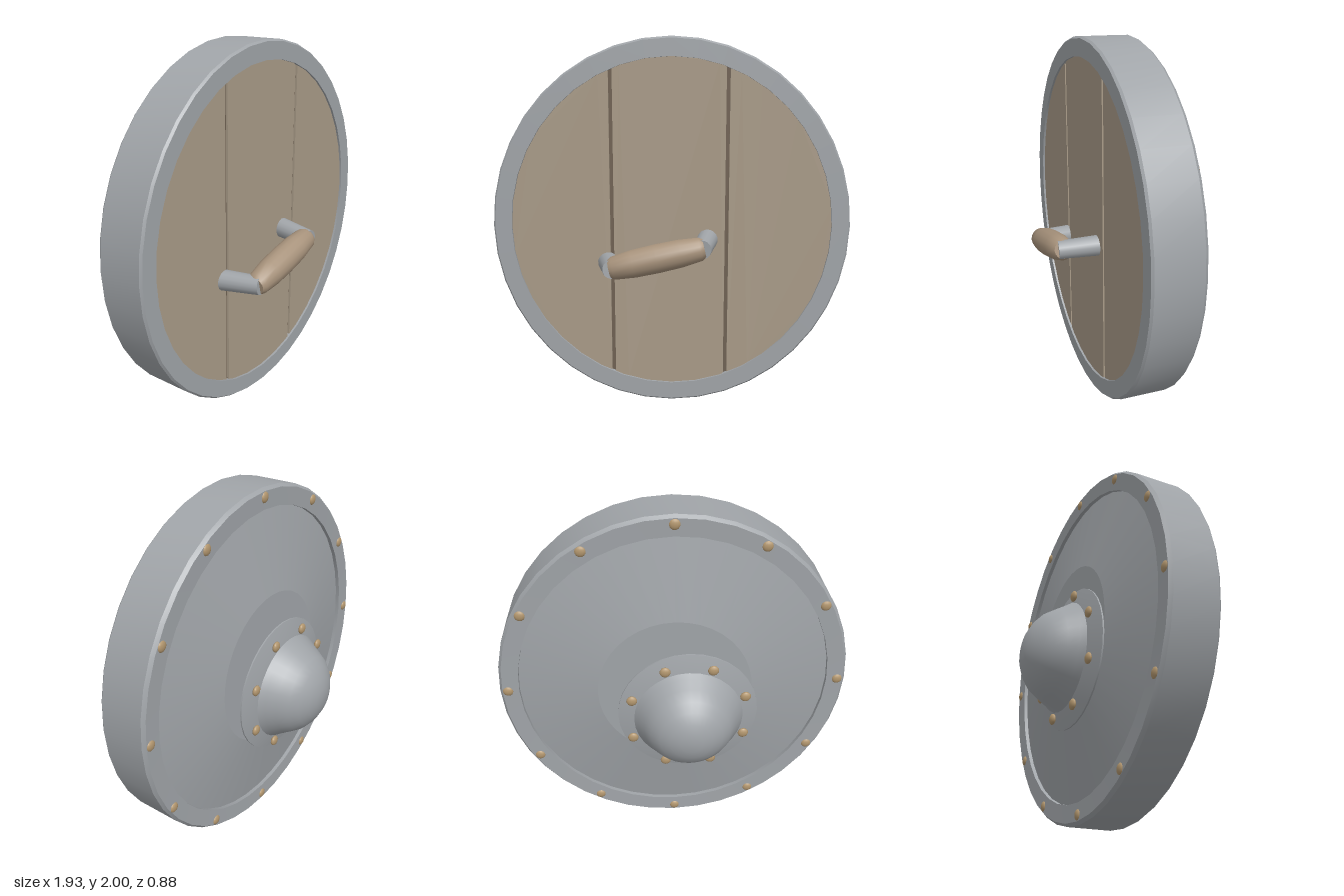
import * as THREE from 'three';
import { toCreasedNormals } from 'three/addons/utils/BufferGeometryUtils.js';

const material = (name, color) => {
  const m = new THREE.MeshStandardMaterial({ color });
  m.name = name;
  return m;
};

export function createModel() {
  const steel = material('steel', 0xa0a4a8);
  const wood = material('wood', 0xa89a87);
  const darkWood = material('dark wood', 0x6f6152);
  const leather = material('grip leather', 0xa8937c);
  const brass = material('rivet brass', 0xb2966e);

  const group = new THREE.Group();
  group.name = 'roundShield';
  const add = (name, geometry, mat, parent = group) => {
    const mesh = new THREE.Mesh(geometry, mat);
    mesh.name = name;
    parent.add(mesh);
    return mesh;
  };

  // Turned part around the z axis; profile is [radius, z], from back to front
  const turned = (profile, segments, crease = 0.5) => {
    const g = new THREE.LatheGeometry(profile.map(([r, z]) => new THREE.Vector2(r, z)), segments);
    g.rotateX(Math.PI / 2);
    return toCreasedNormals(g, crease);
  };

  // Shield body, slightly taller than wide
  const RX = 0.965, CY = 1;
  const body = new THREE.Group();
  body.name = 'body';
  body.position.y = CY;
  body.scale.set(RX, 1, 1);
  group.add(body);

  add('rim', turned([
    [0.89, -0.05], [0.89, -0.085], [0.985, -0.088], [1, -0.07],
    [1, 0.18], [0.99, 0.192], [0.897, 0.192], [0.897, 0.1],
  ], 40), steel, body);
  add('backPlate', turned([[0, -0.14], [0.44, -0.14], [0.895, -0.062]], 40, 0.1), steel, body);

  // Wooden planks, cut to the ellipse of the rim
  const PX = 0.905 * RX, PY = 0.905;
  const plankShape = (x0, x1) => {
    const points = [];
    const n = 16;
    const edge = (i) => {
      const a0 = Math.acos(x0 / PX), a1 = Math.acos(x1 / PX);
      return a0 + (a1 - a0) * i / n;
    };
    for (let i = 0; i <= n; i++) points.push(new THREE.Vector2(PX * Math.cos(edge(i)), -PY * Math.sin(edge(i))));
    for (let i = n; i >= 0; i--) points.push(new THREE.Vector2(PX * Math.cos(edge(i)), PY * Math.sin(edge(i))));
    return new THREE.Shape(points);
  };
  [[-PX + 0.001, -0.332], [-0.312, 0.29], [0.31, PX - 0.001]].forEach(([x0, x1]) => {
    const g = new THREE.ExtrudeGeometry(plankShape(x0, x1), { depth: 0.17, bevelEnabled: false });
    add('plank', g, wood).position.set(0, CY, 0.01);
  });
  [-0.322, 0.3].forEach((x) => {
    add('plankGap', new THREE.BoxGeometry(0.03, 1.7, 0.1), darkWood).position.set(x, CY, 0.118);
  });

  // Domed boss with its flange, set off centre on the back plate
  const boss = new THREE.Group();
  boss.name = 'boss';
  boss.position.set(-0.07, 0.865, 0);
  group.add(boss);
  add('bossFlange', turned([
    [0, -0.206], [0.2, -0.205], [0.3, -0.19], [0.39, -0.168], [0.39, -0.16], [0, -0.16],
  ], 32, 0.6), steel, boss);
  add('bossDome', turned([
    [0, -0.44], [0.06, -0.437], [0.115, -0.42], [0.17, -0.39], [0.215, -0.35],
    [0.25, -0.295], [0.28, -0.245], [0.302, -0.212], [0, -0.212],
  ], 32, 0.7), steel, boss);

  // Rivets in a ring
  const rivetGeometry = new THREE.SphereGeometry(0.03, 12, 8);
  rivetGeometry.scale(1, 1, 0.5);
  const rivetRing = (name, count, rx, ry, z, start, parent, cy) => {
    for (let i = 0; i < count; i++) {
      const a = start + i * Math.PI * 2 / count;
      add(name, rivetGeometry, brass, parent).position.set(rx * Math.cos(a), cy + ry * Math.sin(a), z);
    }
  };
  rivetRing('rimRivet', 12, 0.92, 0.953, -0.083, 0, group, CY);
  rivetRing('bossRivet', 8, 0.337, 0.337, -0.211, Math.PI / 8, boss, 0);

  // Handle: a bent steel bar with a thicker grip around its middle
  const handle = new THREE.Group();
  handle.name = 'handle';
  group.add(handle);
  const between = (mesh, a, b) => {
    mesh.position.copy(a).lerp(b, 0.5);
    mesh.quaternion.setFromUnitVectors(new THREE.Vector3(0, 1, 0), b.clone().sub(a).normalize());
  };
  const left = new THREE.Vector3(0.165, 0.914, 0.36);
  const right = new THREE.Vector3(-0.31, 0.806, 0.36);
  [[left, 0.2, 0.925], [right, -0.35, 0.793]].forEach(([end, x, y]) => {
    const root = new THREE.Vector3(x, y, 0.15);
    const strut = new THREE.CylinderGeometry(0.05, 0.058, root.distanceTo(end) + 0.05, 16);
    between(add('handleStrut', strut, steel, handle), root, end);
  });
  const length = left.distanceTo(right);
  const gripProfile = [[0, -0.5], [0.05, -0.5], [0.062, -0.46], [0.074, -0.25], [0.077, 0],
    [0.074, 0.25], [0.062, 0.46], [0.05, 0.5], [0, 0.5]];
  const grip = new THREE.LatheGeometry(gripProfile.map(([r, t]) => new THREE.Vector2(r, t * (length + 0.02))), 16);
  between(add('grip', toCreasedNormals(grip, 0.8), leather, handle), right, left);

  return group;
}
